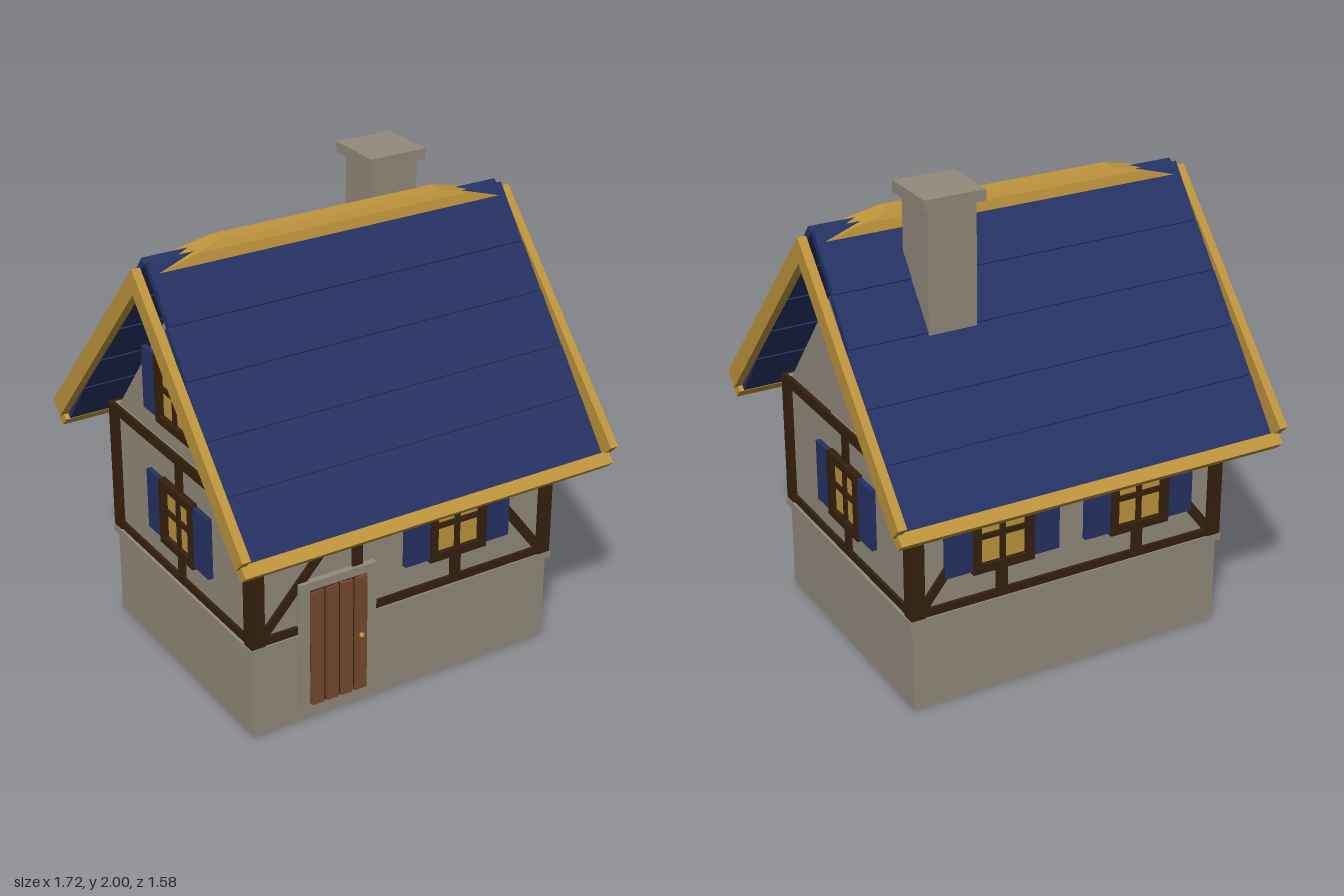
import * as THREE from 'three';

const mat = (name, color, side = THREE.FrontSide) => {
  const m = new THREE.MeshStandardMaterial({ color, side });
  m.name = name;
  return m;
};

export function createModel() {
  const stone = mat('stone', 0x938a7c, THREE.DoubleSide);
  const timber = mat('dark timber', 0x35210f);
  const gold = mat('golden wood', 0xbf953d);
  const blue = mat('blue paint', 0x263264);
  const doorWood = mat('door wood', 0x774a2c);

  const house = new THREE.Group();
  house.name = 'cottage';

  const add = (parent, name, geo, material) => {
    const m = new THREE.Mesh(geo, material);
    m.name = name;
    parent.add(m);
    return m;
  };
  // Box given by its limits on each axis
  const box = (parent, name, material, x0, x1, y0, y1, z0, z1) => {
    const m = add(parent, name, new THREE.BoxGeometry(x1 - x0, y1 - y0, z1 - z0), material);
    m.position.set((x0 + x1) / 2, (y0 + y1) / 2, (z0 + z1) / 2);
    return m;
  };
  const group = (parent, name) => {
    const g = new THREE.Group();
    g.name = name;
    parent.add(g);
    return g;
  };
  // Outline in (z, y), extruded along x and centred on x
  const extrudeX = (parent, name, material, points, x, width) => {
    const shape = new THREE.Shape(points.map(([z, y]) => new THREE.Vector2(-z, y)));
    const geo = new THREE.ExtrudeGeometry(shape, { depth: width, bevelEnabled: false });
    geo.translate(0, 0, -width / 2).rotateY(Math.PI / 2);
    const m = add(parent, name, geo, material);
    m.position.x = x;
    return m;
  };

  // Hollow foundation, open underneath
  const baseGeo = new THREE.BoxGeometry(1.4, 0.385, 1.13);
  const idx = Array.from(baseGeo.index.array);
  idx.splice(18, 6);
  baseGeo.setIndex(idx);
  baseGeo.clearGroups();
  add(house, 'foundation', baseGeo, stone).position.y = 0.1925;
  box(house, 'foundationLedge', stone, -0.715, 0.715, 0.38, 0.41, -0.58, 0.58);

  // Walls and gable
  box(house, 'walls', stone, -0.69, 0.69, 0.41, 0.99, -0.56, 0.56);
  extrudeX(house, 'gable', stone, [[-0.53, 0.985], [0.53, 0.985], [0, 1.64]], 0, 1.37);

  // Corner posts
  for (const sx of [-1, 1]) for (const sz of [-1, 1]) {
    const p = add(house, 'cornerPost', new THREE.BoxGeometry(0.06, 0.58, 0.06), timber);
    p.position.set(sx * 0.68, 0.7, sz * 0.548);
  }

  // Window with frame, glazing bars and a pair of shutters; z = 0 is the wall face
  const addWindow = (parent, x, y) => {
    const w = group(parent, 'window');
    w.position.set(x, y, 0);
    box(w, 'glass', gold, -0.105, 0.105, -0.115, 0.115, 0, 0.009);
    for (const s of [-1, 1]) {
      const a = s * 0.1175;
      box(w, 'frameSide', timber, a - 0.0175, a + 0.0175, -0.145, 0.145, 0, 0.03);
      const b = s * 0.1275;
      box(w, 'frameRail', timber, -0.1, 0.1, b - 0.0175, b + 0.0175, 0, 0.03);
      const c = s * 0.1925;
      box(w, 'shutter', blue, c - 0.0575, c + 0.0575, -0.132, 0.135, 0, 0.022);
    }
    box(w, 'mullion', timber, -0.011, 0.011, -0.11, 0.11, 0, 0.02);
    box(w, 'glazingBar', timber, -0.1, 0.1, -0.005, 0.017, 0, 0.02);
  };
  // Diagonal timber between two points on a wall
  const addBrace = (parent, x0, y0, x1, y1) => {
    const len = Math.hypot(x1 - x0, y1 - y0);
    const b = add(parent, 'brace', new THREE.BoxGeometry(len, 0.04, 0.014), timber);
    b.position.set((x0 + x1) / 2, (y0 + y1) / 2, 0.003);
    b.rotation.z = Math.atan2(y1 - y0, x1 - x0);
  };
  // Timber framed face with sill, top beam and windows with studs
  const addFacade = (name, angle, distance, half, windows) => {
    const f = group(house, name);
    f.rotation.y = angle;
    f.position.set(Math.sin(angle) * distance, 0, Math.cos(angle) * distance);
    box(f, 'sillBeam', timber, -half, half, 0.408, 0.445, -0.02, 0.013);
    box(f, 'topBeam', timber, -half, half, 0.945, 0.99, -0.02, 0.013);
    for (const x of windows) {
      box(f, 'lowerStud', timber, x - 0.024, x + 0.024, 0.44, 0.56, -0.01, 0.012);
      box(f, 'upperStud', timber, x - 0.024, x + 0.024, 0.82, 0.95, -0.01, 0.012);
      addWindow(f, x, 0.69);
    }
    return f;
  };

  const front = addFacade('frontFacade', 0, 0.56, 0.66, [0.24]);
  box(front, 'doorStud', timber, -0.25, -0.205, 0.62, 0.95, -0.01, 0.012);
  addBrace(front, -0.66, 0.44, -0.21, 0.94);
  addBrace(front, 0.66, 0.44, 0.3, 0.91);

  const back = addFacade('backFacade', Math.PI, 0.56, 0.66, [-0.31, 0.31]);
  for (const s of [-1, 1]) addBrace(back, s * 0.66, 0.44, s * 0.42, 0.75);

  addFacade('leftFacade', Math.PI / 2, 0.69, 0.53, [0]);
  const right = addFacade('rightFacade', -Math.PI / 2, 0.69, 0.53, [0]);
  addWindow(right, 0, 1.235);

  // Door with stone surround, planks and knob
  const door = group(house, 'door');
  box(door, 'doorSurround', stone, -0.5, -0.15, 0.07, 0.635, 0.535, 0.587);
  box(door, 'doorBacking', timber, -0.455, -0.2, 0.085, 0.6, 0.58, 0.596);
  for (let i = 0; i < 4; i++) {
    const x = -0.455 + i * 0.0655;
    box(door, 'doorPlank', doorWood, x, x + 0.0545, 0.085, 0.6, 0.588, 0.606);
  }
  const knob = add(door, 'doorKnob', new THREE.SphereGeometry(0.011, 10, 8), gold);
  knob.position.set(-0.233, 0.34, 0.614);

  // Roof slopes in overlapping rows, with an eave beam
  const edges = [0.024, 0.18, 0.31, 0.45, 0.58, 0.745];
  const slopeY = (z) => 1.835 - 1.32 * (z - 0.024);
  for (const side of [0, 1]) {
    const slope = group(house, side ? 'backRoof' : 'frontRoof');
    slope.rotation.y = side * Math.PI;
    for (let i = 0; i < 5; i++) {
      const z0 = edges[i], z1 = edges[i + 1];
      const y0 = slopeY(z0), y1 = slopeY(z1) + 0.007;
      const t = Math.atan2(y0 - y1, z1 - z0);
      const geo = new THREE.BoxGeometry(1.61 + i * 0.01, 0.03, Math.hypot(z1 - z0, y1 - y0) + 0.004);
      const row = add(slope, 'roofRow', geo, blue);
      row.position.set(0, (y0 + y1) / 2 - 0.015 * Math.cos(t), (z0 + z1) / 2 - 0.015 * Math.sin(t));
      row.rotation.x = t;
    }
    const eave = add(slope, 'eaveBeam', new THREE.BoxGeometry(1.69, 0.052, 0.052), gold);
    eave.position.set(0, 0.88, 0.748);
    eave.rotation.x = 0.82;
  }

  // Barge boards at both gable ends
  const chevron = [[0, 1.81], [0.79, 0.95], [0.735, 0.893], [0, 1.705], [-0.735, 0.893], [-0.79, 0.95]];
  for (const s of [-1, 1]) extrudeX(house, 'bargeBoard', gold, chevron, s * 0.842, 0.036);

  // Ridge cap, tapering down at both ends
  const cap = extrudeX(house, 'ridgeCap', gold,
    [[-0.058, 1.795], [0.058, 1.795], [0.05, 1.835], [0.035, 1.865], [-0.035, 1.865], [-0.05, 1.835]], 0, 1.54);
  const pos = cap.geometry.attributes.position;
  for (let i = 0; i < pos.count; i++) {
    const drop = (pos.getY(i) - 1.795) / 0.07;
    pos.setX(i, Math.sign(pos.getX(i)) * (0.77 - 0.27 * drop));
  }
  cap.geometry.computeVertexNormals();

  // Chimney
  box(house, 'chimney', stone, 0.275, 0.48, 1.2, 1.96, -0.315, -0.11);
  box(house, 'chimneyCap', stone, 0.25, 0.507, 1.955, 2, -0.345, -0.088);

  return house;
}
